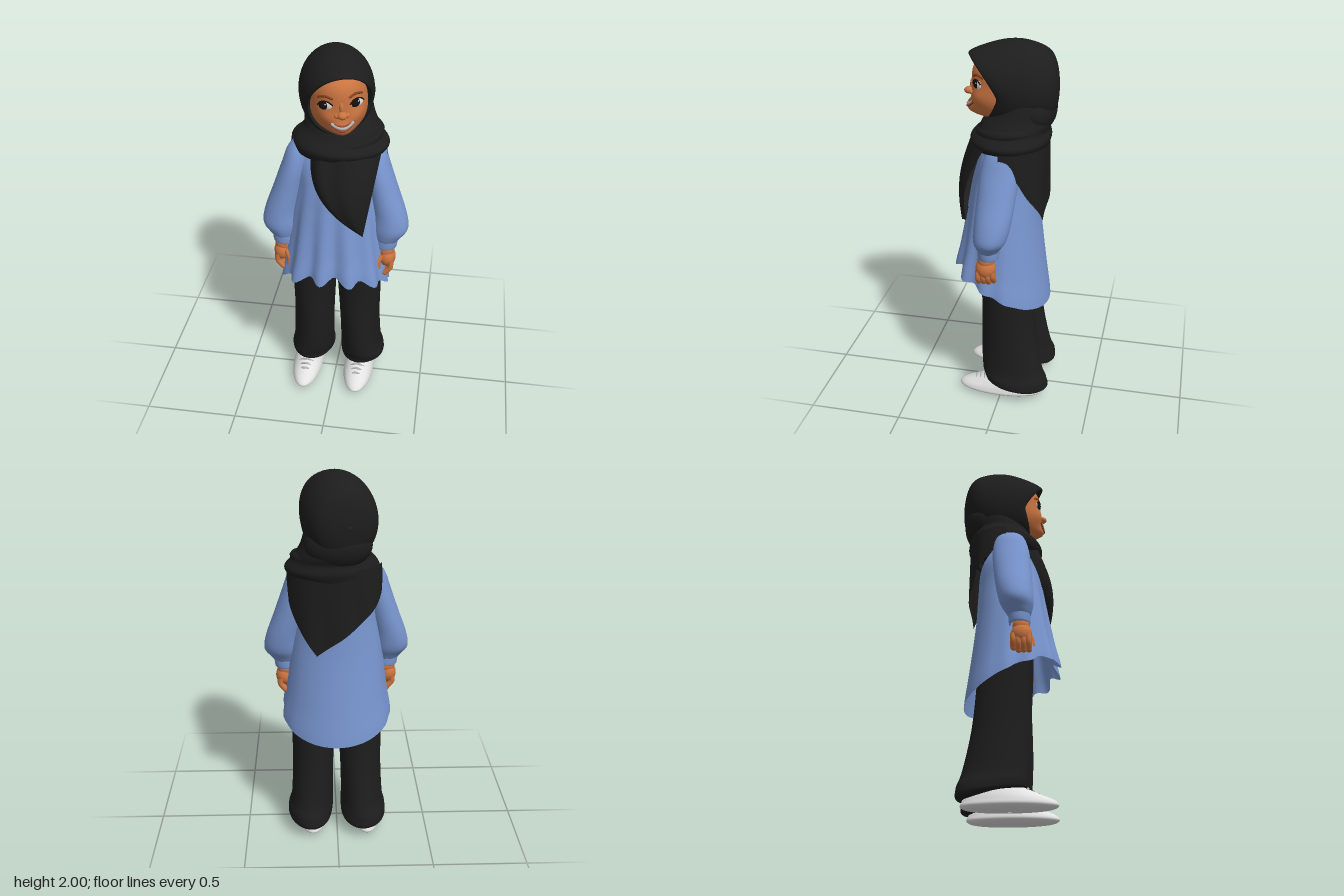
import * as THREE from 'three';

const mat = (name, color, side = THREE.FrontSide) => {
  const m = new THREE.MeshStandardMaterial({ color, side });
  m.name = name;
  return m;
};
const M = {
  black: mat('black cloth', 0x1d1d1d, THREE.DoubleSide),
  blue: mat('blue cloth', 0x7996d0, THREE.DoubleSide),
  skin: mat('skin', 0xcb7440),
  white: mat('shoe white', 0xe2e2e2),
  grey: mat('lace grey', 0xb4b4b4),
  dark: mat('eye dark', 0x17110f),
  brow: mat('brow brown', 0x84451f),
  lip: mat('lip brown', 0x97492c),
};

// Grid surface from f(u, v) -> [x, y, z]; closed surfaces wrap around in u
function surface(f, nu, nv, closed = true) {
  const cols = closed ? nu : nu + 1, pos = [], idx = [];
  for (let j = 0; j <= nv; j++)
    for (let i = 0; i < cols; i++) pos.push(...f(i / nu, j / nv));
  for (let j = 0; j < nv; j++)
    for (let i = 0; i < nu; i++) {
      const a = j * cols + i, b = j * cols + (i + 1) % cols;
      idx.push(a, b, b + cols, a, b + cols, a + cols);
    }
  const g = new THREE.BufferGeometry();
  g.setAttribute('position', new THREE.Float32BufferAttribute(pos, 3));
  g.setIndex(idx);
  g.computeVertexNormals();
  return g;
}

// Smooth interpolation through rows of numbers
function sample(rows, t) {
  const n = rows.length - 1, k = Math.min(Math.floor(t * n), n - 1), f = t * n - k;
  const at = i => rows[Math.max(0, Math.min(n, i))];
  return rows[k].map((p1, c) => {
    const p0 = at(k - 1)[c], p2 = at(k + 1)[c], p3 = at(k + 2)[c];
    return p1 + 0.5 * f * (p2 - p0 + f * (2 * p0 - 5 * p1 + 4 * p2 - p3 + f * (3 * (p1 - p2) + p3 - p0)));
  });
}

// Stacked ellipses, rows are [y, centre x, centre z, radius x, radius z] from the bottom up
function stack(rows, { s = 1, dx = 0, dz = 0, tilt = 0, ripple = () => 0, nu = 36 } = {}) {
  return surface((u, v) => {
    const a = u * Math.PI * 2, [y, cx, cz, rx, rz] = sample(rows, v), k = 1 + ripple(a, v);
    return [s * cx + dx + rx * k * Math.sin(a), y + tilt * Math.cos(a) * (1 - v) ** 4, cz + dz + rz * k * Math.cos(a)];
  }, nu, rows.length * 5);
}

function add(parent, name, geo, material, p = [0, 0, 0], scale = [1, 1, 1]) {
  const m = new THREE.Mesh(geo, material);
  m.name = name;
  m.position.set(...p);
  m.scale.set(...scale);
  parent.add(m);
}
const ball = (parent, name, material, p, r) => add(parent, name, new THREE.SphereGeometry(1, 24, 16), material, p, r);
const tube = (pts, r, closed = false, n = 24) =>
  new THREE.TubeGeometry(new THREE.CatmullRomCurve3(pts.map(p => new THREE.Vector3(...p)), closed), n, r, 8, closed);

function buildHead() {
  const head = new THREE.Group();
  head.name = 'head';
  head.position.set(0, 1.77, -0.03);
  head.rotation.set(0, 0.25, 0.06, 'YXZ');

  // face is a rounded barrel with soft cheeks and chin pushed forward
  const W = 0.152, H = 0.175, D = 0.203;
  const round = t => Math.sqrt(Math.max(0, 1 - Math.abs(t) ** (t > 0 ? 4 : 3)));
  const bump = (x, y) => 0.016 * Math.exp(-((Math.abs(x) - 0.08) ** 2 + (y + 0.045) ** 2) / 0.0016)
    + 0.055 * Math.exp(-(x * x / 0.004 + (y + 0.125) ** 2 / 0.0025));
  const on = (x, y, d = 0) => [x, y, D * Math.sqrt(Math.max(0, round(y / H) ** 2 - (x / W) ** 2)) + bump(x, y) + d];
  add(head, 'face', surface((u, v) => {
    const a = u * Math.PI * 2, t = -Math.cos(v * Math.PI), r = round(t) + 0.001, c = Math.cos(a);
    const x = W * r * Math.sin(a), y = H * t;
    return [x, y, D * r * c + (c > 0 ? bump(x, y) : 0)];
  }, 64, 40), M.skin);
  ball(head, 'noseTip', M.skin, [0, -0.024, 0.216], [0.024, 0.019, 0.026]);
  ball(head, 'noseBridge', M.skin, [0, 0.005, 0.196], [0.013, 0.036, 0.016]);

  for (const s of [-1, 1]) {
    ball(head, 'nostril', M.skin, [s * 0.022, -0.029, 0.203], [0.017, 0.013, 0.016]);
    // eyes follow the curve of the face
    const eye = new THREE.Group();
    eye.name = 'eye';
    eye.position.set(...on(s * 0.075, 0.02, -0.001));
    eye.rotation.y = s * 0.48;
    head.add(eye);
    ball(eye, 'eyeWhite', M.white, [0, 0, 0], [0.037, 0.023, 0.009]);
    ball(eye, 'iris', M.dark, [-0.007, 0.001, 0.003], [0.026, 0.022, 0.0085]);
    ball(eye, 'glint', M.white, [0.004, 0.009, 0.0105], [0.004, 0.004, 0.002]);
    add(eye, 'lashLine', tube([[-0.039, 0, 0.002], [-0.018, 0.021, 0.007], [0.014, 0.023, 0.007], [0.04, 0.004, 0.002]], 0.0035), M.dark);
    add(head, 'eyebrow', tube([on(s * 0.036, 0.055, -0.002), on(s * 0.07, 0.066, -0.002), on(s * 0.105, 0.054, -0.002)], 0.007), M.brow);
  }

  // smiling mouth: two lips with teeth between
  const smile = (y, bend, w) => [-1, -0.5, 0, 0.5, 1].map(k => on(k * w, y + bend * k * k, 0.001));
  add(head, 'upperLip', tube(smile(-0.08, 0.014, 0.06), 0.005), M.lip);
  add(head, 'teeth', tube(smile(-0.09, 0.021, 0.054), 0.008), M.grey);
  add(head, 'lowerLip', tube(smile(-0.103, 0.034, 0.058), 0.006), M.lip);

  // hood rings run from the face opening to the back: [half width, half height, z, top lean, bottom lean]
  const hood = [
    [0.132, 0.14, 0.03, 0.08, 0.05], [0.152, 0.16, 0.085, 0.13, 0.05], [0.176, 0.192, 0.05, 0.12, 0.04],
    [0.187, 0.226, -0.02, 0.06, 0.01], [0.184, 0.223, -0.1, 0.03, 0], [0.156, 0.18, -0.178, 0, 0],
    [0.094, 0.11, -0.22, 0, 0], [0.002, 0.002, -0.235, 0, 0],
  ];
  add(head, 'hood', surface((u, v) => {
    const a = u * Math.PI * 2, c = Math.cos(a), k = c + 0.25, [w, h, z, top, bot] = sample(hood, v);
    const lean = k > 0 ? top * (k / 1.25) ** 1.2 : bot * (-k / 0.75) ** 1.2;
    return [w * Math.sin(a) + 0.02 * c * (1 - v) ** 2, h * c, z + lean];
  }, 56, 42), M.black);
  return head;
}

function buildScarf() {
  const g = new THREE.Group();
  g.name = 'scarf';
  add(g, 'neckWrap', stack([
    [1.445, 0.01, -0.03, 0.19, 0.15], [1.475, 0.015, -0.03, 0.232, 0.19], [1.515, 0.02, -0.028, 0.244, 0.204],
    [1.56, 0.02, -0.042, 0.217, 0.184], [1.6, 0.017, -0.06, 0.19, 0.175], [1.66, 0.005, -0.085, 0.176, 0.155],
    [1.72, 0, -0.1, 0.16, 0.135],
  ], { nu: 56, ripple: (a, v) => 0.012 * Math.sin(v * 20 + 1.5 * Math.sin(a)) }), M.black);
  // rolled fold slanting around the neck
  const fold = Array.from({ length: 12 }, (_, i) => {
    const a = i / 6 * Math.PI;
    return [0.015 + 0.198 * Math.sin(a), 1.55 + 0.022 * Math.sin(a) - 0.015 * Math.cos(a), -0.035 + 0.163 * Math.cos(a)];
  });
  add(g, 'neckFold', tube(fold, 0.026, true, 48), M.black);
  ball(g, 'backFold', M.black, [-0.005, 1.655, -0.15], [0.17, 0.12, 0.105]);

  // front point hanging to one side, its edges curling back to the chest
  add(g, 'frontTail', surface((u, v) => {
    const left = -0.12 + 0.285 * v ** 2.6, right = 0.235 - 0.07 * v, k = u * 2 - 1;
    const z = 0.165 + 0.065 * Math.sin(Math.PI * 0.8 * v) + 0.009 * Math.sin(u * 14) * (1 - v);
    return [left + (right - left) * u, 1.5 - 0.42 * v, z - 0.085 * k ** 4 * (1 - 0.75 * v) - 0.02 * k * k * (1 - v)];
  }, 32, 18, false), M.black);

  // back point with wide shoulders
  add(g, 'backTail', surface((u, v) => {
    const k = u * 2 - 1, a = k * Math.PI / 2, d = k - 0.25;
    const end = 1.085 + 0.35 * Math.abs(d) / (d < 0 ? 1.25 : 0.75), y = 1.54 + (end - 1.54) * v;
    const flare = 1 + 0.04 * Math.sin(v * Math.PI * 0.6), fold = 0.006 * Math.sin(k * 13) * v;
    return [0.01 + 0.238 * Math.sin(a) * flare, y, -0.01 - 0.212 * Math.max(0, Math.cos(a)) ** 0.75 + fold];
  }, 40, 18, false), M.black);
  return g;
}

function buildTunic() {
  const g = new THREE.Group();
  g.name = 'tunic';
  // body rows: [radius x, front depth, back depth] from hem to neck
  const rows = [
    [0.292, 0.247, 0.24], [0.27, 0.225, 0.22], [0.252, 0.206, 0.2], [0.234, 0.188, 0.183],
    [0.212, 0.168, 0.175], [0.2, 0.13, 0.16], [0.1, 0.07, 0.09],
  ];
  add(g, 'tunicBody', surface((u, v) => {
    const a = u * Math.PI * 2, c = Math.cos(a), [rx, rf, rb] = sample(rows, v);
    const wave = Math.cos(13 * (a + 0.157)), front = (0.5 + 0.5 * c) ** 2.5;
    const square = 0.1 * Math.sin(2 * a) ** 2 * front;
    const k = 1 + (wave * 0.09 * front + square) * (1 - v) ** 1.3;
    const hem = 0.685 + 0.118 * c - 0.02 * wave * front;
    return [rx * k * Math.sin(a), hem + (1.54 - hem) * v, (c > 0 ? rf : rb) * k * c];
  }, 120, 36), M.blue);

  for (const s of [-1, 1]) {
    const dz = s < 0 ? 0.015 : -0.008;
    add(g, 'sleeve', stack([
      [0.965, 0.272, 0.047, 0.056, 0.051], [0.995, 0.278, 0.044, 0.075, 0.066], [1.045, 0.289, 0.034, 0.096, 0.086],
      [1.13, 0.281, 0.022, 0.09, 0.094], [1.25, 0.248, 0.01, 0.08, 0.098], [1.38, 0.213, 0, 0.07, 0.098],
      [1.48, 0.19, -0.01, 0.055, 0.08], [1.53, 0.165, -0.01, 0.015, 0.03],
    ], { s, dz, ripple: (a, v) => 0.03 * Math.cos(7 * a) * Math.max(0, 0.5 - v) }), M.blue);
    add(g, 'cuff', stack([
      [0.928, 0.27, 0.047, 0.05, 0.046], [0.934, 0.27, 0.047, 0.059, 0.054],
      [0.98, 0.273, 0.047, 0.062, 0.056], [1.0, 0.276, 0.047, 0.055, 0.05],
    ], { s, dz }), M.blue);
  }
  return g;
}

function buildHand(s) {
  const g = new THREE.Group();
  g.name = 'hand';
  g.position.set(s * 0.276, 0.87, s < 0 ? 0.07 : 0.05);
  ball(g, 'wrist', M.skin, [0, 0.045, 0], [0.045, 0.05, 0.044]);
  ball(g, 'palm', M.skin, [s * 0.006, 0, 0.002], [0.046, 0.056, 0.053]);
  for (let i = 0; i < 4; i++) {
    const z = -0.039 + i * 0.026, drop = i === 0 ? 0.012 : 0;
    add(g, 'finger', tube([[s * 0.026, -0.005, z], [s * 0.026, -0.05 + drop, z], [0, -0.083 + drop, z]], 0.0155, false, 10), M.skin);
    ball(g, 'fingertip', M.skin, [0, -0.083 + drop, z], [0.0155, 0.0155, 0.0155]);
  }
  add(g, 'thumb', tube([[-s * 0.02, 0.02, 0.03], [-s * 0.04, -0.015, 0.048], [-s * 0.04, -0.045, 0.05]], 0.017, false, 10), M.skin);
  ball(g, 'thumbTip', M.skin, [-s * 0.04, -0.045, 0.05], [0.017, 0.017, 0.017]);
  return g;
}

function buildLeg(s) {
  const g = new THREE.Group();
  g.name = 'leg';
  add(g, 'trouserLeg', stack([
    [0.1, 0.145, -0.08, 0.02, 0.02], [0.085, 0.147, -0.087, 0.11, 0.16], [0.13, 0.147, -0.08, 0.124, 0.174],
    [0.2, 0.138, -0.062, 0.115, 0.166], [0.4, 0.13, -0.04, 0.112, 0.15], [0.6, 0.127, -0.03, 0.118, 0.138],
    [0.8, 0.122, -0.02, 0.125, 0.136], [1.0, 0.1, -0.01, 0.11, 0.13],
  ], { s, tilt: 0.045, nu: 48, ripple: (a, v) => 0.025 * Math.sin(3 * a + s + 14 * v) * (1 - v) }), M.black);
  add(g, 'shoe', stack([
    [0, 0.15, 0.005, 0.002, 0.01], [0.007, 0.15, 0.005, 0.055, 0.18], [0.024, 0.15, 0.005, 0.084, 0.234],
    [0.05, 0.15, 0, 0.083, 0.225], [0.08, 0.15, -0.025, 0.074, 0.182], [0.11, 0.15, -0.045, 0.06, 0.135],
    [0.13, 0.15, -0.06, 0.045, 0.1], [0.13, 0.15, -0.06, 0.002, 0.002],
  ], { s, dx: -0.014 }), M.white);
  // laces across the instep
  for (let i = 0; i < 3; i++) {
    const x = s * 0.15 - 0.014, z = 0.09 + i * 0.025, y = 0.112 - i * 0.013;
    add(g, 'lace', tube([[x - 0.04, y - 0.022, z], [x, y, z + 0.005], [x + 0.04, y - 0.022, z]], 0.006, false, 10), M.grey);
  }
  return g;
}

export function createModel() {
  const model = new THREE.Group();
  model.name = 'child in scarf and tunic';
  model.add(buildHead(), buildScarf(), buildTunic());
  for (const s of [-1, 1]) model.add(buildHand(s), buildLeg(s));
  return model;
}
